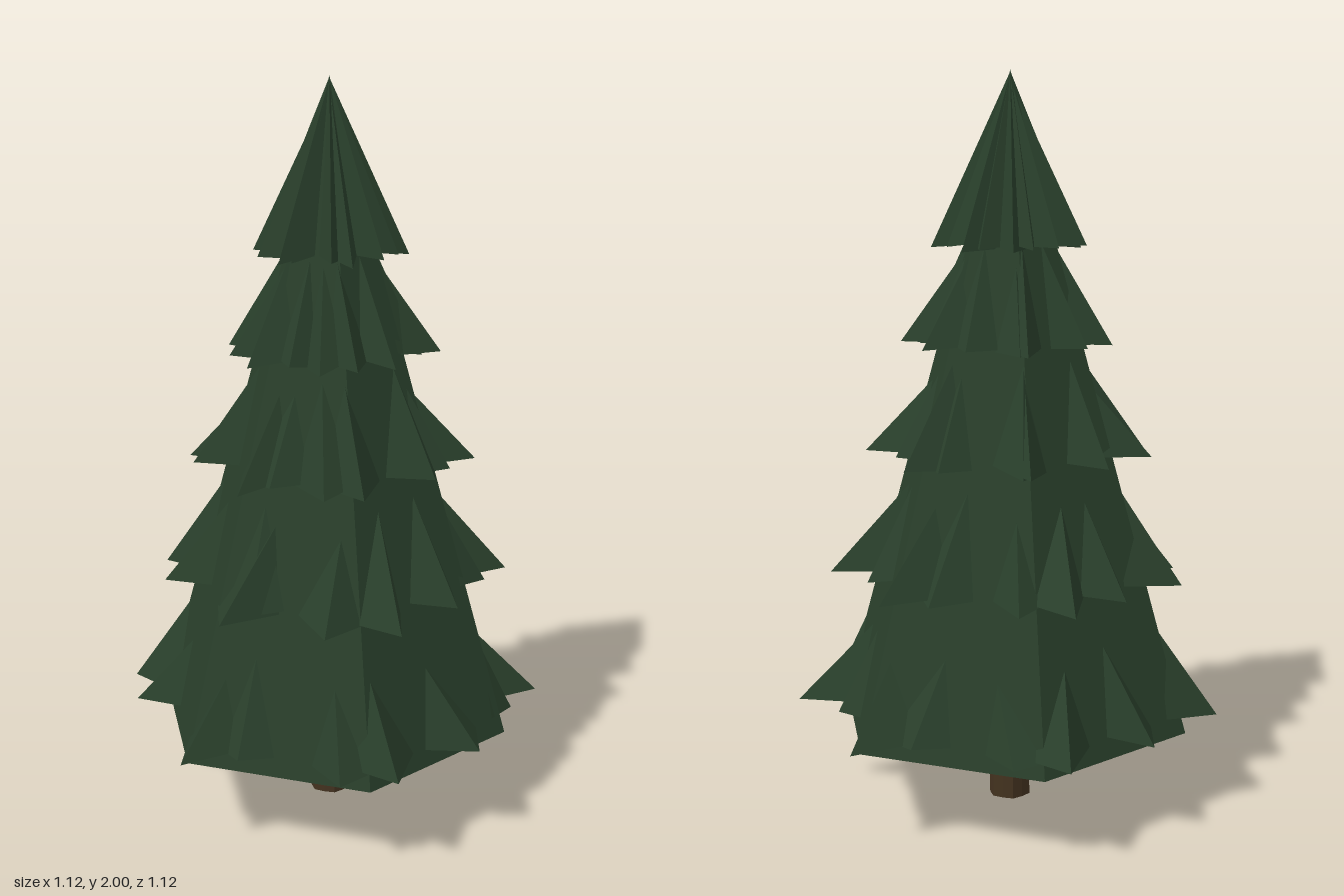
import * as THREE from 'three';

const TOP = 2, BASE = 0.242, RADIUS = 0.507;     // six-sided foliage core
const AXIS_X = -0.025, AXIS_Z = -0.003;

// Small seeded generator for natural variation
let seed = 918273645;
const rand = (a, b) => {
  seed = (seed * 16807) % 2147483647;
  return a + (b - a) * (seed / 2147483647);
};

// Distance from the axis to the core's surface at an angle and height
function coreRadius(angle, y) {
  const step = Math.PI / 3;
  const d = (((angle % step) + step) % step) - step / 2;
  const corner = RADIUS * (TOP - y) / (TOP - BASE);
  return corner * Math.cos(step / 2) / Math.cos(d);
}

const polar = (angle, r, y) => [Math.sin(angle) * r, y, Math.cos(angle) * r];

// Bough tips of the lowest tier as x, z around the axis
const TIPS = [
  [0.585, 0.085], [0.475, -0.355], [0.32, -0.36], [0.08, -0.51], [-0.055, -0.562],
  [-0.305, -0.427], [-0.53, -0.242], [-0.54, -0.092], [-0.465, 0.335], [-0.32, 0.36],
  [-0.085, 0.533], [0.06, 0.563], [0.315, 0.425], [0.472, 0.205], [0.482, -0.03],
];

// One ring of pointed boughs, each a ridge with two sides and an underside
function tierGeometry({ tip, top, scale, half, wander }) {
  const points = [];
  for (const [x, z] of TIPS) {
    const angle = Math.atan2(x, z) + rand(-wander, wander);
    const reach = Math.hypot(x, z) * scale * (1 + rand(0, wander * 0.4));
    const topY = Math.min(top + rand(-0.05, 0.04), TOP - 0.01);
    const topAngle = angle + rand(-0.13, 0.13);
    const leftAngle = angle - half * rand(0.75, 1.2);
    const rightAngle = angle + half * rand(0.75, 1.2);
    const crown = polar(topAngle, coreRadius(topAngle, topY), topY);
    const end = polar(angle, reach, tip + rand(-0.005, 0.01));
    const left = polar(leftAngle, coreRadius(leftAngle, tip), tip + rand(0, 0.02));
    const right = polar(rightAngle, coreRadius(rightAngle, tip), tip + rand(0, 0.02));
    points.push(...crown, ...left, ...end, ...crown, ...end, ...right, ...left, ...right, ...end);
  }
  const geometry = new THREE.BufferGeometry();
  geometry.setAttribute('position', new THREE.Float32BufferAttribute(points, 3));
  geometry.computeVertexNormals();
  return geometry;
}

export function createModel() {
  const needles = new THREE.MeshStandardMaterial({ color: 0x293f2b, flatShading: true, side: THREE.DoubleSide });
  needles.name = 'needle green';
  const bark = new THREE.MeshStandardMaterial({ color: 0x43321f, flatShading: true });
  bark.name = 'bark brown';

  const tree = new THREE.Group();
  tree.name = 'firTree';
  const add = (name, geometry, material, y = 0) => {
    const mesh = new THREE.Mesh(geometry, material);
    mesh.name = name;
    mesh.position.set(AXIS_X, y, AXIS_Z);
    tree.add(mesh);
  };

  // Trunk with slightly ridged bark
  const trunk = new THREE.CylinderGeometry(0.056, 0.06, 0.3, 12);
  const p = trunk.attributes.position;
  for (let i = 0; i < p.count; i++) {
    const a = Math.atan2(p.getX(i), p.getZ(i));
    const k = 0.96 + 0.04 * Math.cos(a * 6);
    p.setX(i, p.getX(i) * k);
    p.setZ(i, p.getZ(i) * k);
  }
  add('trunk', trunk, bark, 0.15);

  // Foliage core
  add('foliageCore', new THREE.ConeGeometry(RADIUS, TOP - BASE, 6), needles, (TOP + BASE) / 2);

  // Tiers of boughs from bottom to top
  const tiers = [
    { tip: 0.282, top: 0.51, scale: 1.0, half: 0.2, wander: 0 },
    { tip: 0.65, top: 0.89, scale: 0.82, half: 0.23, wander: 0.1 },
    { tip: 0.98, top: 1.22, scale: 0.645, half: 0.28, wander: 0.13 },
    { tip: 1.28, top: 1.54, scale: 0.475, half: 0.32, wander: 0.15 },
    { tip: 1.54, top: 1.98, scale: 0.34, half: 0.34, wander: 0.15 },
  ];
  tiers.forEach((tier, i) => add(`boughTier${i + 1}`, tierGeometry(tier), needles));
  return tree;
}
